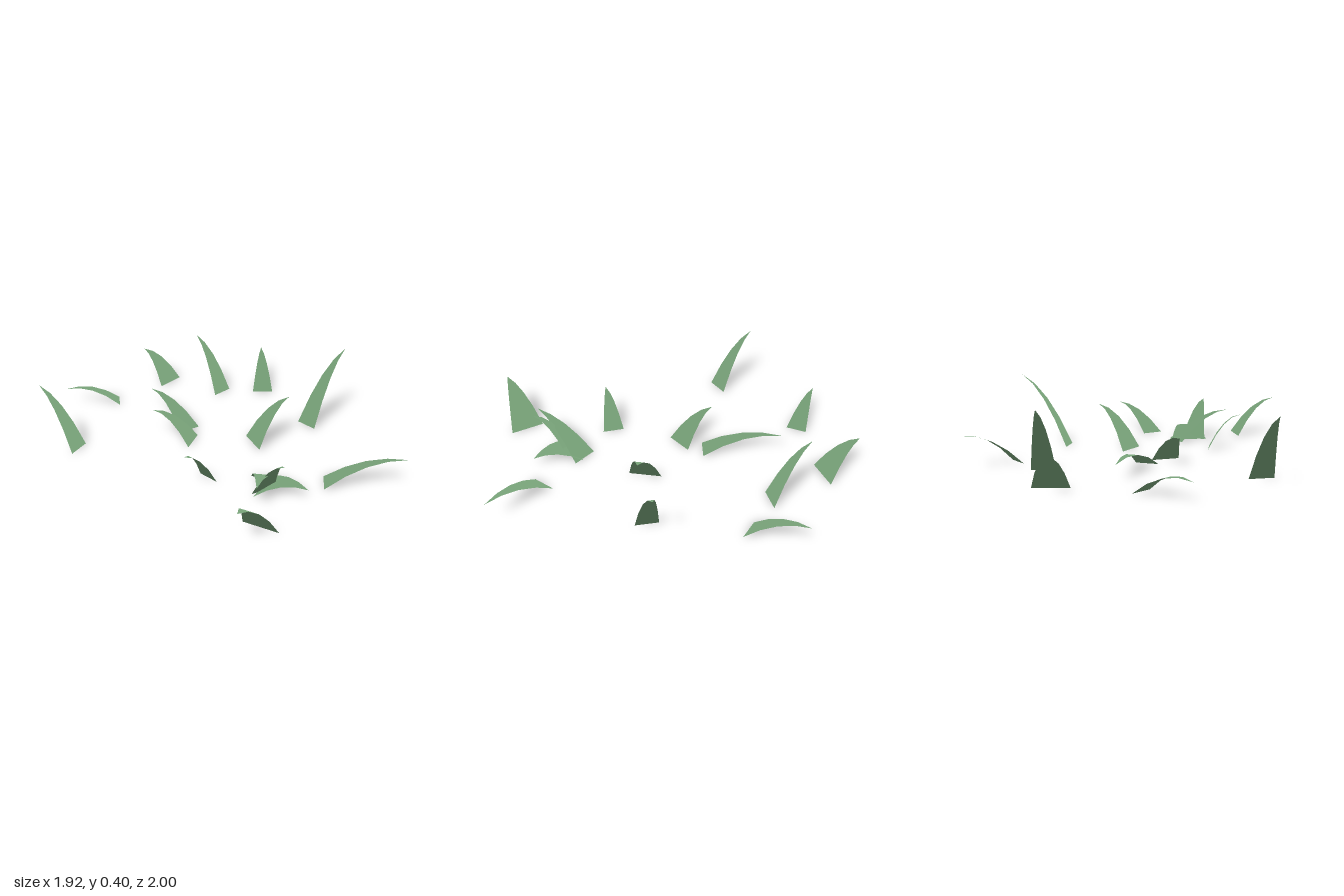
import * as THREE from 'three';

const SEGMENTS = 4;
const NORMAL_LEAN = 0.15;

// Each blade: base corner a [x,z], base corner b [x,z], tip [x,z], tip height, arch
const BLADES = [
  { a: [-0.335, -0.86], b: [-0.43, -0.71], tip: [-0.565, -0.89], h: 0.18, arch: 0.18 },
  { a: [0.0, -0.71], b: [-0.08, -0.61], tip: [-0.21, -0.775], h: 0.33, arch: 0.22 },
  { a: [0.15, -0.68], b: [0.27, -0.69], tip: [0.185, -1.0], h: 0.17, arch: 0.17 },
  { a: [0.43, -0.3], b: [0.52, -0.215], tip: [0.68, -0.45], h: 0.4, arch: 0.26 },
  { a: [-0.665, -0.535], b: [-0.64, -0.425], tip: [-0.96, -0.415], h: 0.095, arch: 0.17 },
  { a: [-0.135, -0.185], b: [-0.23, -0.11], tip: [-0.455, -0.495], h: 0.083, arch: 0.19 },
  { a: [-0.13, -0.085], b: [-0.165, 0.06], tip: [-0.375, -0.075], h: 0.15, arch: 0.18 },
  { a: [0.14, -0.1], b: [0.22, 0.055], tip: [0.37, -0.12], h: 0.24, arch: 0.2 },
  { a: [-0.73, 0.065], b: [-0.775, 0.185], tip: [-0.965, 0.04], h: 0.33, arch: 0.22 },
  { a: [0.555, 0.3], b: [0.555, 0.425], tip: [0.96, 0.36], h: 0.15, arch: 0.17 },
  { a: [0.02, 0.4], b: [-0.07, 0.325], tip: [-0.13, 0.5], h: 0.19, arch: 0.18 },
  { a: [0.19, 0.33], b: [0.33, 0.34], tip: [0.23, 0.7], h: 0.16, arch: 0.17 },
  { a: [0.285, 0.325], b: [0.21, 0.52], tip: [0.475, 0.512], h: 0.045, arch: 0.14 },
  { a: [0.2, 0.5], b: [0.31, 0.42], tip: [0.355, 0.607], h: 0.22, arch: 0.19 },
  { a: [0.17, 0.735], b: [0.34, 0.812], tip: [0.16, 1.0], h: 0.22, arch: 0.2 },
];

// A ribbon that tapers evenly to its tip while bending outwards
function bladeGeometry({ a, b, tip, h, arch }) {
  // order the base corners so the upper side is the front face
  const cross = (b[1] - a[1]) * (tip[0] - a[0]) - (b[0] - a[0]) * (tip[1] - a[1]);
  const [p, q] = cross > 0 ? [a, b] : [b, a];
  const positions = [];
  const index = [];
  for (let i = 0; i < SEGMENTS; i++) {
    const t = i / SEGMENTS;
    const y = h * t + arch * t * (1 - t);
    for (const c of [p, q]) {
      positions.push(c[0] + (tip[0] - c[0]) * t, y, c[1] + (tip[1] - c[1]) * t);
    }
    const k = i * 2;
    if (i < SEGMENTS - 1) index.push(k, k + 1, k + 2, k + 1, k + 3, k + 2);
    else index.push(k, k + 1, k + 2);
  }
  positions.push(tip[0], h, tip[1]);

  // upward grass normals, leaning a little the way the blade bends
  const lean = new THREE.Vector3(tip[0] - (a[0] + b[0]) / 2, 0, tip[1] - (a[1] + b[1]) / 2);
  const normal = lean.setLength(NORMAL_LEAN).setY(1).normalize();
  const normals = Array.from({ length: positions.length / 3 }, () => normal.toArray()).flat();

  const geometry = new THREE.BufferGeometry();
  geometry.setAttribute('position', new THREE.Float32BufferAttribute(positions, 3));
  geometry.setAttribute('normal', new THREE.Float32BufferAttribute(normals, 3));
  geometry.setIndex(index);
  return geometry;
}

export function createModel() {
  const group = new THREE.Group();
  group.name = 'grassPatch';
  const green = new THREE.MeshStandardMaterial({ color: 0x76a077, side: THREE.DoubleSide });
  green.name = 'grassGreen';

  // Scattered grass blades
  BLADES.forEach((blade, i) => {
    const mesh = new THREE.Mesh(bladeGeometry(blade), green);
    mesh.name = `grassBlade${i + 1}`;
    group.add(mesh);
  });
  return group;
}
